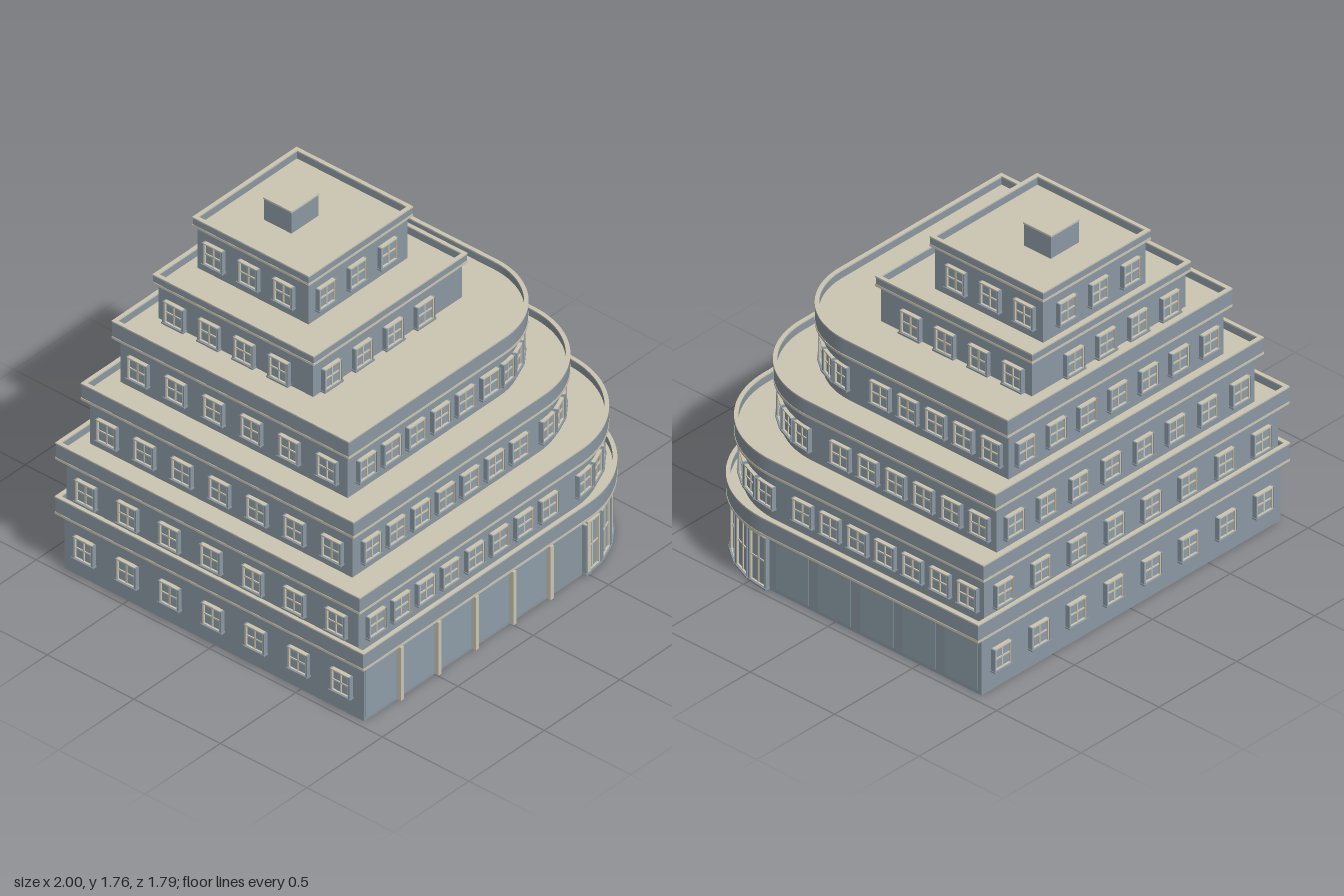
import * as THREE from 'three';
import { mergeGeometries, toCreasedNormals } from 'three/addons/utils/BufferGeometryUtils.js';

const material = (name, color) => {
  const m = new THREE.MeshStandardMaterial({ color });
  m.name = name;
  return m;
};
const wallMat = material('blue grey wall', 0x8b98a3);
const creamMat = material('cream trim', 0xcbc5b1);
const glassMat = material('window glass', 0x8e9ea9);

// Footprint [x0, x1, z0, z1, r]: a rectangle whose front +x corner is rounded by r.
function outline([x0, x1, z0, z1, r], target = new THREE.Shape()) {
  target.moveTo(x0, -z1);
  if (r > 0) {
    target.lineTo(x1 - r, -z1);
    target.absarc(x1 - r, -(z1 - r), r, -Math.PI / 2, 0, false);
  } else {
    target.lineTo(x1, -z1);
  }
  target.lineTo(x1, -z0);
  target.lineTo(x0, -z0);
  target.closePath();
  return target;
}
const grow = ([x0, x1, z0, z1, r], d) => [x0 - d, x1 + d, z0 - d, z1 + d, r > 0 ? r + d : 0];

// Upright prism of a footprint, hollow when a rim thickness is given
function prism(name, foot, y0, y1, mat, rim = 0) {
  const shape = outline(foot);
  if (rim) shape.holes.push(outline(grow(foot, -rim), new THREE.Path()));
  let geo = new THREE.ExtrudeGeometry(shape, { depth: y1 - y0, bevelEnabled: false, curveSegments: 24 });
  geo.rotateX(-Math.PI / 2).translate(0, y0, 0);
  geo = toCreasedNormals(geo, 0.5);
  const mesh = new THREE.Mesh(geo, mat);
  mesh.name = name;
  return mesh;
}

const bar = (w, h, d, x, y, z) => new THREE.BoxGeometry(w, h, d).translate(x, y, z);

// Window parts, centred at the wall plane and facing +z
const cache = {};
function windowParts(w, h) {
  const key = w + '/' + h;
  if (!cache[key]) {
    const t = 0.007, d = 0.02;
    const frame = [-1, 1].flatMap((s) => [
      bar(t, h, d, s * (w - t) / 2, 0, d / 2),
      bar(w, t, d, 0, s * (h - t) / 2, d / 2),
    ]);
    frame.push(bar(t, h, 0.008, 0, 0, 0.011), bar(w, t, 0.008, 0, 0, 0.011));
    cache[key] = {
      frame: mergeGeometries(frame),
      glass: bar(w - t, h - t, 0.008, 0, 0, 0.006),
      surround: mergeGeometries([-1, 1].map((s) => bar(0.008, h, 0.023, s * (w / 2 + 0.003), 0, 0.0115))),
      sill: bar(w + 0.02, 0.008, 0.027, 0, -h / 2, 0.0135),
    };
  }
  return cache[key];
}
function addWindow(parent, x, y, z, angle, w = 0.105, h = 0.115) {
  const parts = windowParts(w, h);
  const g = new THREE.Group();
  g.name = 'window';
  for (const [name, mat] of [['frame', creamMat], ['glass', glassMat], ['surround', wallMat], ['sill', wallMat]]) {
    const m = new THREE.Mesh(parts[name], mat);
    m.name = 'window ' + name;
    g.add(m);
  }
  g.position.set(x, y, z);
  g.rotation.y = angle;
  parent.add(g);
}

// Storeys: wall footprint, parapet footprint, parapet heights, window centre height,
// and window rows as [count, first centre, spacing] for front and right sides
const storeys = [
  { wall: [-0.965, 0.955, -0.868, 0.865, 0.48], band: [-1, 1, -0.89, 0.89, 0.51], y0: 0.3, y1: 0.395,
    win: 0.155, back: 8, left: 7 },
  { wall: [-0.965, 0.925, -0.855, 0.833, 0.46], band: [-1, 0.962, -0.887, 0.868, 0.495], y0: 0.595, y1: 0.685,
    win: 0.465, front: [8, -0.86, 0.163], right: [7, 0.209, -0.163], back: 8, left: 7 },
  { wall: [-0.86, 0.797, -0.812, 0.705, 0.425], band: [-0.89, 0.83, -0.835, 0.737, 0.455], y0: 0.88, y1: 0.97,
    win: 0.747, front: [7, -0.745, 0.163], right: [6, 0.105, -0.165], back: 8, left: 7 },
  { wall: [-0.725, 0.655, -0.752, 0.56, 0.375], band: [-0.755, 0.688, -0.775, 0.592, 0.405], y0: 1.165, y1: 1.26,
    win: 1.038, front: [6, -0.61, 0.163], right: [5, 0, -0.165], back: 7, left: 6 },
  { wall: [-0.56, 0.425, -0.678, 0.217, 0], band: [-0.575, 0.442, -0.695, 0.232, 0], y0: 1.4, y1: 1.45,
    win: 1.28, front: [4, -0.45, 0.205], right: [4, 0.03, -0.202], mirrored: true },
  { wall: [-0.365, 0.292, -0.622, 0.02, 0], band: [-0.38, 0.308, -0.636, 0.034, 0], y0: 1.63, y1: 1.68,
    win: 1.515, front: [3, -0.26, 0.205], right: [3, -0.115, -0.202], mirrored: true },
];

export function createModel() {
  const model = new THREE.Group();
  model.name = 'terraced building';
  let base = 0;

  storeys.forEach((s, level) => {
    const g = new THREE.Group();
    g.name = 'storey ' + (level + 1);
    model.add(g);
    const [x0, x1, z0, z1, r] = s.wall;
    const deck = s.y1 - 0.045;

    // Wall, roof deck and parapet with cream edging
    g.add(prism('wall', s.wall, base, s.y0, wallMat));
    g.add(prism('roof slab', s.band, s.y0, deck - 0.006, wallMat));
    g.add(prism('roof deck', grow(s.band, -0.016), deck - 0.006, deck, creamMat));
    g.add(prism('parapet', s.band, deck - 0.006, s.y1 - 0.007, wallMat, 0.016));
    g.add(prism('parapet cap', grow(s.band, 0.002), s.y1 - 0.007, s.y1, creamMat, 0.02));
    const low = level < 4 ? s.y0 : s.y0 - 0.002;
    g.add(prism('parapet lower trim', grow(s.band, 0.002), low, low + 0.012, creamMat, 0.012));
    base = deck - 0.003;

    // Straight window rows
    const row = ([n, start, step], place) => {
      for (let i = 0; i < n; i++) place(start + i * step);
    };
    const spread = (n, a, b) => [n, a + (b - a) / n / 2, (b - a) / n];
    const front = (x) => addWindow(g, x, s.win, z1, 0);
    const right = (z) => addWindow(g, x1, s.win, z, Math.PI / 2);
    const back = (x) => addWindow(g, x, s.win, z0, Math.PI);
    const left = (z) => addWindow(g, x0, s.win, z, -Math.PI / 2);
    if (s.front) row(s.front, front);
    if (s.right) row(s.right, right);
    row(s.mirrored ? s.front : spread(s.back, x0, x1), back);
    row(s.mirrored ? s.right : spread(s.left, z0, z1), left);

    // Windows round the curved corner
    if (r > 0) {
      const n = 6, w = level ? r * 0.215 : 0.105;
      for (let i = 0; i < n; i++) {
        const a = (i + 0.5) * Math.PI / 2 / n;
        const q = r - 0.004;
        addWindow(g, x1 - r + Math.sin(a) * q, level ? s.win : 0.14, z1 - r + Math.cos(a) * q, a,
          w, level ? 0.115 : 0.262);
      }
    }
  });

  // Ground floor shop panels on the front and right, pilasters on the front
  const [, gx1, , gz1] = storeys[0].wall;
  const add = (name, geo, mat, x, y, z) => {
    const m = new THREE.Mesh(geo, mat);
    m.name = name;
    m.position.set(x, y, z);
    model.add(m);
  };
  const frontPanel = new THREE.BoxGeometry(0.2, 0.255, 0.008);
  const sidePanel = new THREE.BoxGeometry(0.008, 0.255, 0.192);
  const pilaster = new THREE.BoxGeometry(0.02, 0.285, 0.026);
  for (let i = 0; i < 5; i++) {
    add('front shop panel', frontPanel, glassMat, -0.858 + i * 0.248, 0.145, gz1);
    add('side shop panel', sidePanel, glassMat, gx1, 0.145, 0.25 - i * 0.25);
  }
  for (let i = 0; i < 6; i++) {
    add('pilaster', pilaster, creamMat, -0.735 + i * 0.248, 0.1425, gz1 + 0.008);
  }

  // Rooftop stair hut
  const hut = [-0.145, 0.035, -0.43, -0.27, 0];
  model.add(prism('roof hut', hut, 1.6, 1.747, wallMat));
  model.add(prism('roof hut cap', grow(hut, 0.003), 1.747, 1.756, creamMat));
  return model;
}
